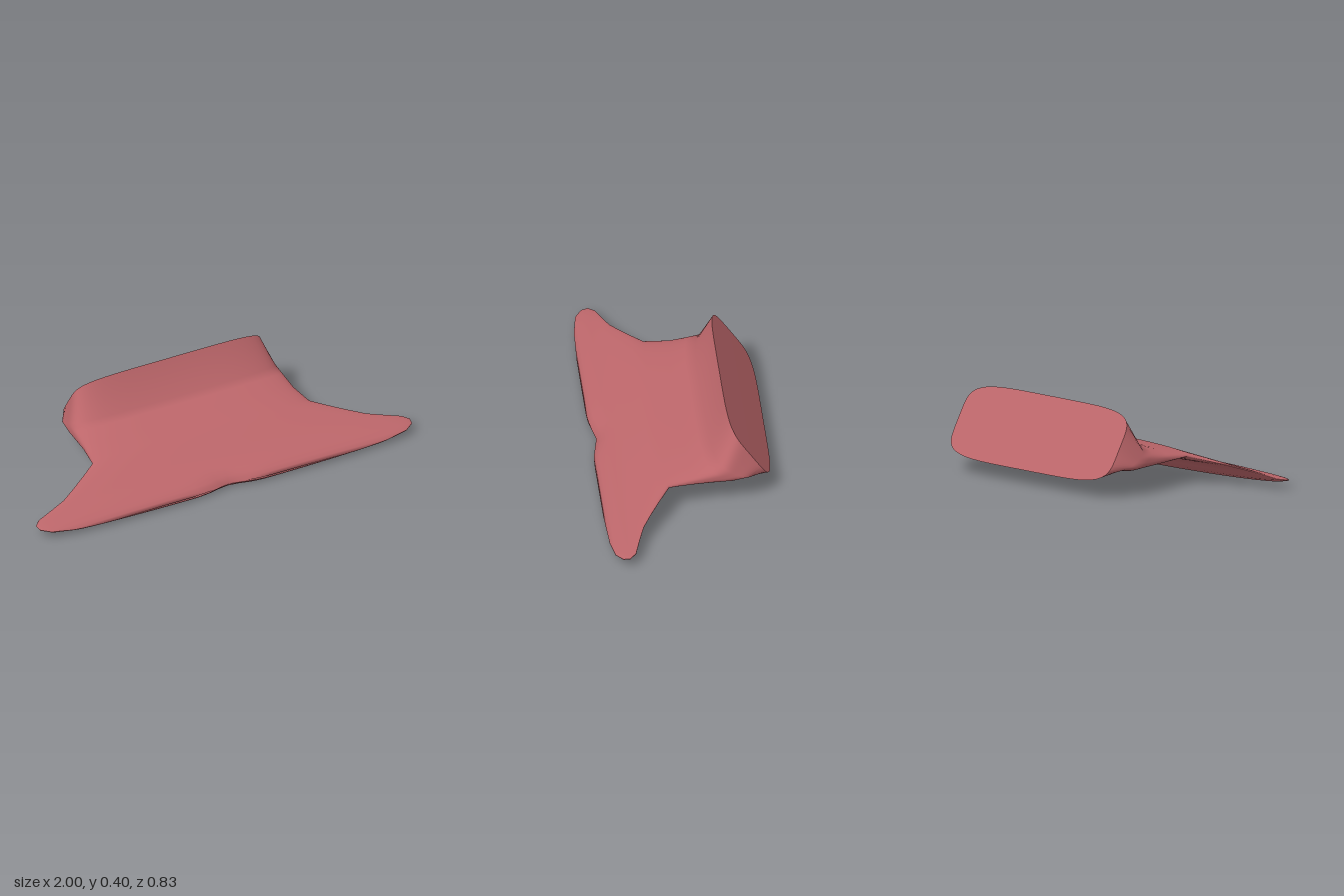
import * as THREE from 'three';

// Cross-sections from back to front:
// [top z, top y, bottom z, bottom y, half width, squareness, height of side edge]
const SECTIONS = [
  [-0.2, 0.4, -0.413, 0.078, 0.5, 5, 0.24],
  [-0.12, 0.228, -0.345, 0.12, 0.55, 4, 0.174],
  [-0.07, 0.219, -0.26, 0.102, 0.555, 3.5, 0.162],
  [0, 0.196, -0.06, 0.105, 0.56, 3, 0.15],
  [0.11, 0.178, 0.085, 0.122, 0.58, 2.6, 0.145],
  [0.16, 0.155, 0.14, 0.104, 0.66, 2.3, 0.125],
  [0.2, 0.136, 0.2, 0.088, 0.74, 2.1, 0.105],
  [0.24, 0.116, 0.24, 0.073, 0.81, 2, 0.088],
  [0.27, 0.102, 0.265, 0.05, 0.89, 2, 0.072],
  [0.3, 0.09, 0.285, 0.025, 0.97, 2, 0.056],
  [0.33, 0.081, 0.315, 0.006, 1.0, 2, 0.05],
  [0.36, 0.072, 0.35, 0, 0.995, 2, 0.045],
  [0.39, 0.056, 0.385, 0.002, 0.95, 2, 0.04],
  [0.405, 0.042, 0.405, 0.008, 0.84, 2, 0.03],
  [0.413, 0.026, 0.413, 0.019, 0.62, 2, 0.022],
];
const SIDES = 96;

// One closed loop, anticlockwise when seen from the front
function ring([zt, yt, zb, yb, w, n, edge]) {
  const points = [];
  for (let j = 0; j < SIDES; j++) {
    const a = (j / SIDES) * Math.PI * 2;
    const c = Math.cos(a), s = Math.sin(a);
    const r = Math.pow(Math.abs(c) ** n + Math.abs(s) ** n, -1 / n);
    const x = w * c * r, v = s * r;
    const y = edge + v * (v > 0 ? yt - edge : edge - yb);
    let z = (zt + zb) / 2 + (v * (zt - zb)) / 2;
    // shallow notch in the middle of the front lip
    z -= 0.03 * THREE.MathUtils.smoothstep(z, 0.3, 0.4) * Math.exp(-((x / 0.1) ** 2));
    points.push(new THREE.Vector3(x, y, z));
  }
  return points;
}

function geometryFrom(points, index) {
  const geometry = new THREE.BufferGeometry().setFromPoints(points);
  geometry.setIndex(index);
  geometry.computeVertexNormals();
  return geometry;
}

export function createModel() {
  const group = new THREE.Group();
  group.name = 'flaredNozzle';
  const red = new THREE.MeshStandardMaterial({ color: 0xbc666a });
  red.name = 'dusty red';

  // Smooth skin lofted through the sections, closed at the thin front lip
  const rings = SECTIONS.map(ring);
  const points = rings.flat();
  const index = [];
  for (let i = 0; i < rings.length - 1; i++) {
    for (let j = 0; j < SIDES; j++) {
      const k = (j + 1) % SIDES;
      const a = i * SIDES + j, b = i * SIDES + k;
      index.push(a, b, a + SIDES, b, b + SIDES, a + SIDES);
    }
  }
  const last = (rings.length - 1) * SIDES;
  const tip = points.length;
  points.push(new THREE.Vector3(0, 0.022, 0.384));
  for (let j = 0; j < SIDES; j++) index.push(tip, last + j, last + ((j + 1) % SIDES));
  const body = new THREE.Mesh(geometryFrom(points, index), red);
  body.name = 'body';

  // Flat slanted face at the back
  const capPoints = [...rings[0], new THREE.Vector3(0, 0.24, -0.3065)];
  const capIndex = [];
  for (let j = 0; j < SIDES; j++) capIndex.push(SIDES, (j + 1) % SIDES, j);
  const cap = new THREE.Mesh(geometryFrom(capPoints, capIndex), red);
  cap.name = 'backFace';

  group.add(body, cap);
  return group;
}
